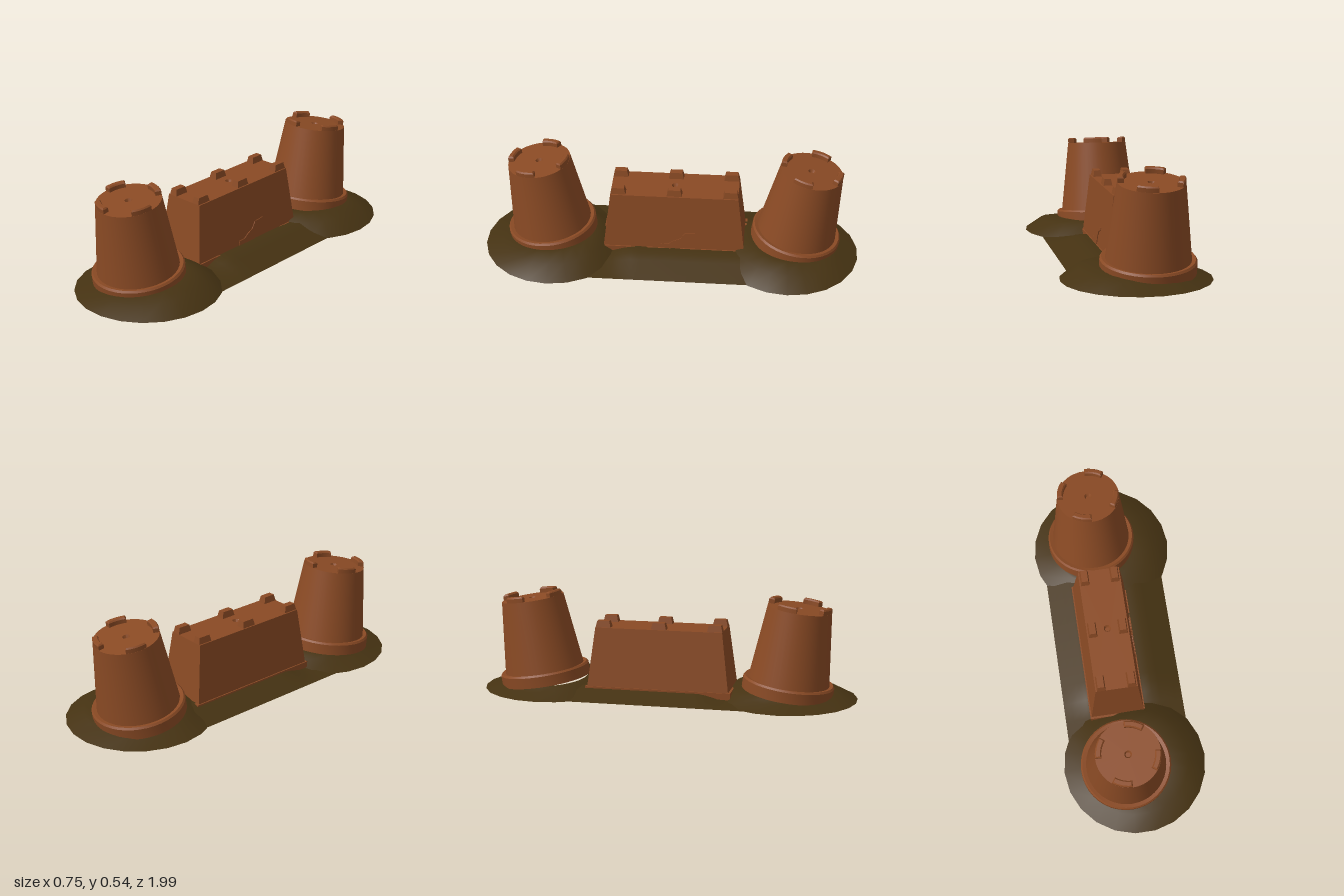
import * as THREE from 'three';
import { toCreasedNormals } from 'three/addons/utils/BufferGeometryUtils.js';

const V = (x, y) => new THREE.Vector2(x, y);

export function createModel() {
  const sand = new THREE.MeshStandardMaterial({ name: 'packedSand', color: 0x8a4a24 });
  const soil = new THREE.MeshStandardMaterial({ name: 'darkSoil', color: 0x453212, side: THREE.DoubleSide });
  const hollow = new THREE.MeshStandardMaterial({ name: 'hollowBlack', color: 0x040404 });
  const root = new THREE.Group();
  root.name = 'sandcastle';

  const add = (parent, name, geo, mat, x = 0, y = 0, z = 0) => {
    const m = new THREE.Mesh(geo, mat);
    m.name = name;
    m.position.set(x, y, z);
    parent.add(m);
    return m;
  };

  // Box whose top face is narrowed; its base sits on y = 0
  const taperedBox = (w, h, d, topW, topD) => {
    const g = new THREE.BoxGeometry(w, h, d).translate(0, h / 2, 0);
    const p = g.attributes.position;
    for (let i = 0; i < p.count; i++) {
      if (p.getY(i) > h / 2) {
        p.setX(i, p.getX(i) * topW / w);
        p.setZ(i, p.getZ(i) * topD / d);
      }
    }
    g.computeVertexNormals();
    return g;
  };

  // Curved battlement with bevelled edges
  const half = 0.29, rIn = 0.139, rOut = 0.158;
  const arc = new THREE.Shape();
  arc.absarc(0, 0, rOut, -half, half, false);
  arc.absarc(0, 0, rIn, half, -half, true);
  const battlement = new THREE.ExtrudeGeometry(arc, {
    depth: 0.03, bevelEnabled: true, bevelSize: 0.006, bevelThickness: 0.007, bevelSegments: 1, curveSegments: 6,
  }).rotateX(Math.PI / 2);

  // Tilted tower with a foot rim and a dimple in the top
  const H = 0.445;
  const profile = [
    V(0.195, 0), V(0.237, 0), V(0.237, 0.056), V(0.229, 0.066), V(0.21, 0.062),
    V(0.165, H), V(0.019, H), V(0.012, H - 0.015), V(0, H - 0.015),
  ];
  const towerGeo = toCreasedNormals(new THREE.LatheGeometry(profile, 40), 0.5);
  const addTower = (name, y, z, tilt) => {
    const tower = new THREE.Group();
    tower.name = name;
    tower.position.set(-0.05, y, z);
    tower.rotation.x = tilt;
    root.add(tower);
    add(tower, 'towerBody', towerGeo, sand);
    add(tower, 'towerHollow', new THREE.CircleGeometry(0.197, 40).rotateX(Math.PI / 2), hollow, 0, 0.002, 0);
    for (let k = 0; k < 4; k++) {
      const b = add(tower, 'towerBattlement', battlement, sand, 0, H + 0.022, 0);
      b.rotation.y = -(0.33 + k * Math.PI / 2);
    }
  };
  addTower('frontTower', 0.043, 0.64, 0.13);
  addTower('backTower', 0.047, -0.66, -0.155);

  // Wall between the towers
  const wall = new THREE.Group();
  wall.name = 'wall';
  wall.position.set(-0.05, 0, -0.02);
  root.add(wall);
  const bodyGeo = taperedBox(0.285, 0.32, 0.75, 0.22, 0.67);
  bodyGeo.setIndex([...bodyGeo.index.array].filter((_, i) => i < 12 || i >= 24));
  add(wall, 'wallSides', bodyGeo, sand, 0, 0.04, 0);

  // Wall top with a dimple
  const rect = (w, d) => new THREE.Shape([V(-w / 2, -d / 2), V(w / 2, -d / 2), V(w / 2, d / 2), V(-w / 2, d / 2)]);
  const topShape = rect(0.22, 0.67);
  topShape.holes.push(new THREE.Path().absarc(0, 0, 0.019, 0, Math.PI * 2, true));
  add(wall, 'wallTop', new THREE.ShapeGeometry(topShape, 16).rotateX(-Math.PI / 2), sand, 0, 0.36, 0);
  const dimple = new THREE.LatheGeometry([V(0.019, 0), V(0.012, -0.015), V(0, -0.015)], 24);
  add(wall, 'wallDimple', toCreasedNormals(dimple, 0.5), sand, 0, 0.36, 0);

  // Buried foot frame of the wall
  const frame = rect(0.295, 0.77);
  frame.holes.push(rect(0.215, 0.69));
  add(wall, 'wallFoot', new THREE.ExtrudeGeometry(frame, { depth: 0.04, bevelEnabled: false }).rotateX(-Math.PI / 2),
    sand, 0, 0.012, 0);

  for (const sx of [-1, 1]) {
    for (const z of [-0.295, 0, 0.295]) {
      add(wall, 'wallBattlement', taperedBox(0.046, 0.034, 0.08, 0.034, 0.064), sand, sx * 0.08, 0.36, z);
    }
  }

  // Crumbled patch low on the left side of the wall
  const crumb = new THREE.Shape([
    V(-0.05, 0), V(0.07, 0), V(0.08, 0.05), V(0.1, 0.075), V(0.14, 0.09), V(0.14, 0.1),
    V(0.08, 0.095), V(0.055, 0.06), V(0.02, 0.045), V(-0.01, 0.025), V(-0.05, 0.025),
  ]);
  const patch = add(root, 'crumbledPatch',
    new THREE.ExtrudeGeometry(crumb, { depth: 0.004, bevelEnabled: false }).rotateY(Math.PI / 2), sand, 0.0915, 0.052, 0);
  patch.rotation.z = 0.104;

  // Mound around each tower, lofted from shifted rings: [radius, centre x, height, slope with x, slope outward]
  const rings = [[0.375, 0, 0, 0, 0], [0.285, 0, 0.045, 0.055, -0.03], [0.225, -0.035, 0.062, 0.06, -0.06], [0.19, -0.05, 0.062, 0.05, -0.06]];
  const N = 22;
  const addMound = (name, z0, out) => {
    const pos = [], idx = [];
    rings.forEach(([r, cx, h, sx, sz], j) => {
      for (let i = 0; i < N; i++) {
        const a = i / N * Math.PI * 2;
        const x = cx + r * Math.cos(a), z = r * Math.sin(a);
        const bump = j === 1 ? 0.004 * Math.sin(a * 5) : 0;
        pos.push(x, h + sx * x + sz * z * out + bump, z);
        if (j > 0) {
          const n = (i + 1) % N, p = (j - 1) * N, q = j * N;
          idx.push(p + i, q + i, p + n, q + i, q + n, p + n);
        }
      }
    });
    const g = new THREE.BufferGeometry();
    g.setAttribute('position', new THREE.Float32BufferAttribute(pos, 3));
    g.setIndex(idx);
    g.computeVertexNormals();
    add(root, name, g, soil, 0, 0, z0);
  };
  addMound('frontMound', 0.625, 1);
  addMound('backMound', -0.625, -1);

  // Raised bank under the wall, sinking at its front end
  const bank = new THREE.PlaneGeometry(0.64, 0.9, 16, 18).rotateX(-Math.PI / 2);
  const p = bank.attributes.position;
  for (let i = 0; i < p.count; i++) {
    const edge = Math.min(1, (0.32 - Math.abs(p.getX(i))) / 0.16);
    const end = 1 - 0.6 * THREE.MathUtils.smoothstep(p.getZ(i), 0.2, 0.32);
    p.setY(i, 0.052 * edge * end);
  }
  bank.computeVertexNormals();
  add(root, 'bank', bank, soil, -0.01, 0, 0);

  return root;
}
